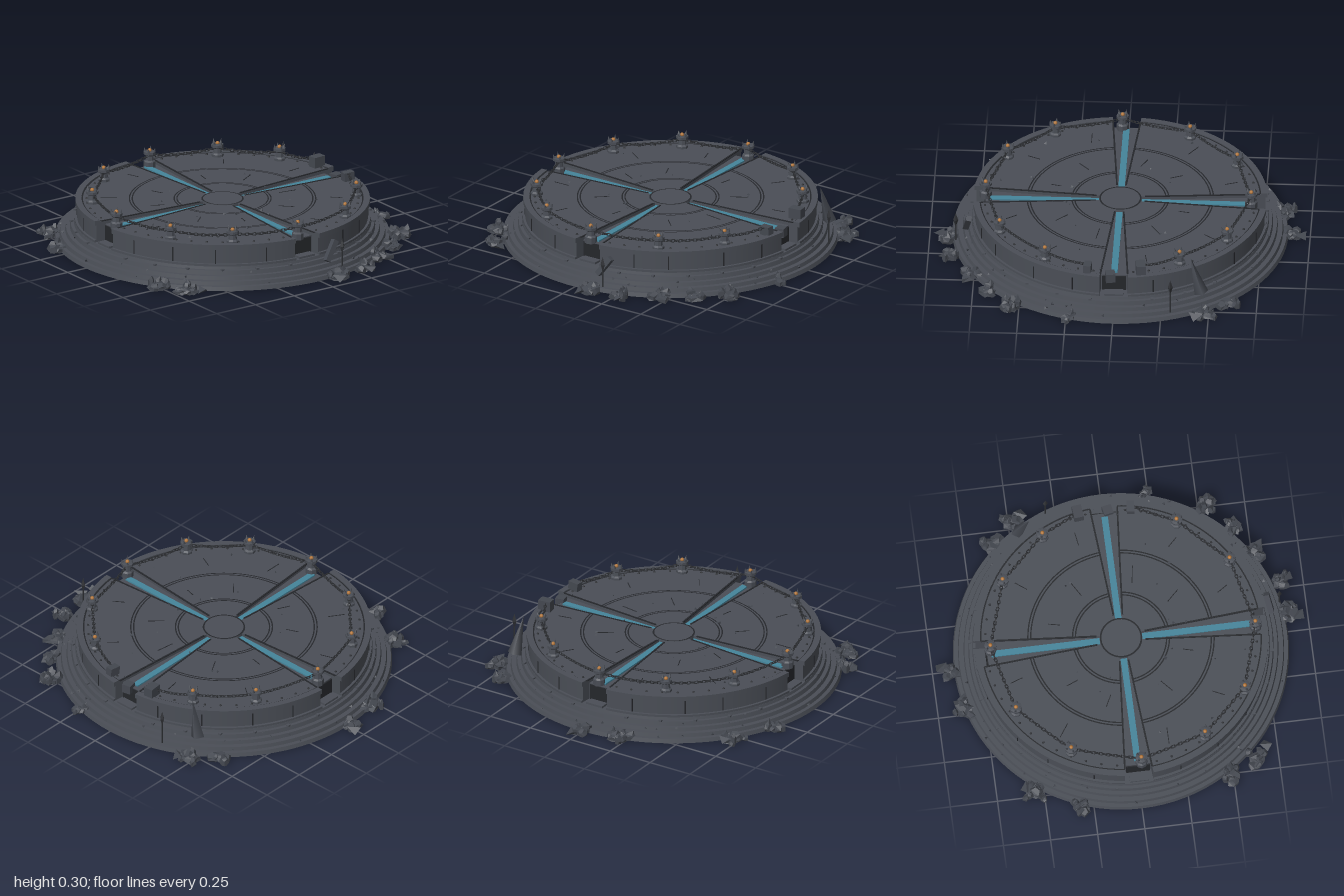
import * as THREE from 'three';

const mat = (name, color, side = THREE.FrontSide) => {
  const m = new THREE.MeshStandardMaterial({ color, side });
  m.name = name;
  return m;
};

export function createModel() {
  const root = new THREE.Group();
  root.name = 'ruinedArena';
  const stone = mat('slate stone', 0x4a4e56);
  const rubbleStone = mat('rubble stone', 0x444850);
  const dark = mat('dark seam', 0x25272b);
  const iron = mat('dark iron', 0x303236);
  const blue = mat('blue inlay', 0x45849a);
  const gold = mat('amber finial', 0xb5783c);

  let seed = 11;
  const rnd = (a = 0, b = 1) => {
    seed = (seed * 16807) % 2147483647;
    return a + (b - a) * seed / 2147483647;
  };
  const add = (name, geo, m, parent = root, x = 0, y = 0, z = 0) => {
    const mesh = new THREE.Mesh(geo, m);
    mesh.name = name;
    mesh.position.set(x, y, z);
    parent.add(mesh);
    return mesh;
  };
  const group = (name, parent = root) => {
    const g = new THREE.Group();
    g.name = name;
    parent.add(g);
    return g;
  };
  const V = (x, y, z) => new THREE.Vector3(x, y, z);

  // Stepped foundation: each tier has hard edges
  const tiers = [[0.885, 0, 0.022], [0.86, 0.015, 0.042], [0.83, 0.035, 0.062], [0.805, 0.055, 0.085], [0.785, 0.075, 0.1]];
  tiers.forEach(([r, y0, y1], i) => {
    add('foundationTier' + i, new THREE.CylinderGeometry(r - 0.006, r, y1 - y0, 96), stone, root, 0, (y0 + y1) / 2, 0);
  });
  add('channelFloor', new THREE.CylinderGeometry(0.71, 0.71, 0.1, 96), stone, root, 0, 0.142, 0);
  add('centreDisc', new THREE.CylinderGeometry(0.108, 0.112, 0.03, 48), stone, root, 0, 0.198, 0);
  const ring = (r, w, a, len) => new THREE.RingGeometry(r - w, r + w, 40, 1, a, len).rotateX(-Math.PI / 2);
  add('centreSeam', ring(0.107, 0.004, 0, Math.PI * 2), dark, root, 0, 0.2142, 0);

  // Quarter platforms, separated by widening channels
  const half = r => 0.022 + 0.053 * (r - 0.11) / 0.66;
  const gap = r => Math.asin(half(r) / r);
  const sector = (r0, r1, y0, y1) => {
    const s = new THREE.Shape();
    s.absarc(0, 0, r1, gap(r1), Math.PI / 2 - gap(r1), false);
    s.absarc(0, 0, r0, Math.PI / 2 - gap(r0), gap(r0), true);
    s.closePath();
    return new THREE.ExtrudeGeometry(s, { depth: y1 - y0, bevelEnabled: false, curveSegments: 36 })
      .rotateX(-Math.PI / 2).translate(0, y0, 0);
  };
  const platform = sector(0.112, 0.765, 0.09, 0.212);
  const lip = sector(0.742, 0.775, 0.192, 0.218);
  const plinth = sector(0.7, 0.778, 0.09, 0.112);
  for (let q = 0; q < 4; q++) {
    const g = group('quarterPlatform' + q);
    g.rotation.y = q * Math.PI / 2;
    add('platform', platform, stone, g);
    add('rimLip', lip, stone, g);
    add('wallPlinth', plinth, stone, g);
    // Engraved arcs
    [0.24, 0.255, 0.475, 0.49, 0.738].forEach(r =>
      add('arcSeam', ring(r, 0.0035, gap(r), Math.PI / 2 - 2 * gap(r)), dark, g, 0, 0.2132, 0));
    // Engraved borders along the channels
    for (const side of [0, 1]) {
      const pt = r => {
        const a = side ? Math.PI / 2 - gap(r) : gap(r);
        return V(r * Math.cos(a), 0, -r * Math.sin(a));
      };
      const a = pt(0.13), b = pt(0.735);
      const m = add('channelSeam', new THREE.BoxGeometry(a.distanceTo(b), 0.004, 0.009), dark, g);
      m.position.copy(a.add(b).multiplyScalar(0.5)).setY(0.2125);
      m.rotation.y = Math.atan2(-(b.z - a.z), b.x - a.x);
    }
    // Wall joints, slab joints and rivets
    for (let i = 1; i < 5; i++) {
      const a = i * Math.PI / 10 + rnd(-0.04, 0.04);
      const m = add('wallJoint', new THREE.BoxGeometry(0.006, 0.08, 0.006), dark, g, 0.765 * Math.cos(a), 0.152, -0.765 * Math.sin(a));
      m.rotation.y = a;
      const r = i % 2 ? 0.6 : 0.36;
      const c = add('slabCrack', new THREE.BoxGeometry(rnd(0.05, 0.1), 0.003, 0.004), dark, g, r * Math.cos(a), 0.2125, -r * Math.sin(a));
      c.rotation.y = a + rnd(-0.3, 0.3);
    }
    for (let i = 0; i < 12; i++) {
      const a = 0.14 + i * 0.116;
      add('rivet', new THREE.CylinderGeometry(0.005, 0.007, 0.006, 6), iron, g, 0.715 * Math.cos(a), 0.215, -0.715 * Math.sin(a));
      if (i % 2) add('tierStud', new THREE.BoxGeometry(0.016, 0.01, 0.016), stone, g, 0.795 * Math.cos(a), 0.088, -0.795 * Math.sin(a));
    }
    // Blue inlay strip and dark gate recess at the rim
    add('blueInlay', new THREE.BoxGeometry(0.575, 0.008, 0.034), blue, g, 0.4, 0.196, 0);
    add('gateRecess', new THREE.BoxGeometry(0.006, 0.085, 0.125), dark, g, 0.712, 0.145, 0);
    add('gateSill', new THREE.BoxGeometry(0.05, 0.012, 0.1), stone, g, 0.745, 0.105, 0);
  }

  // Crowned posts
  const posts = [[0.6, 0.37], [0.35, 0.62], [-0.02, 0.71], [-0.37, 0.61], [-0.6, 0.37], [-0.7, 0.02],
    [-0.6, -0.34], [-0.34, -0.6], [0.02, -0.69], [0.38, -0.58], [0.61, -0.34]];
  const postShape = new THREE.LatheGeometry([[0, -0.02], [0.032, -0.02], [0.032, 0.014], [0.023, 0.022], [0.021, 0.046],
    [0.033, 0.054], [0.033, 0.068], [0.02, 0.07], [0, 0.07]].map(p => new THREE.Vector2(...p)), 8).toNonIndexed();
  postShape.computeVertexNormals();
  posts.forEach(([x, z], i) => {
    const g = group('post' + i);
    g.position.set(x, 0.21, z);
    g.rotation.y = Math.atan2(x, z);
    add('postBody', postShape, stone, g);
    for (let k = 0; k < 4; k++) {
      const a = k * Math.PI / 2 + Math.PI / 4;
      const s = add('crownSpike', new THREE.ConeGeometry(0.009, 0.026, 4), stone, g, 0.027 * Math.cos(a), 0.078, 0.027 * Math.sin(a));
      s.rotation.set(0.25 * Math.sin(a), 0, -0.25 * Math.cos(a));
    }
    add('finial', new THREE.SphereGeometry(0.011, 8, 6), gold, g, 0, 0.074, 0);
  });

  // Sagging chains of alternating links
  const link = new THREE.TorusGeometry(0.0085, 0.003, 4, 6).scale(1.5, 0.9, 1);
  const stops = [[0.71, 0.14], ...posts, [0.71, -0.14]];
  for (let i = 0; i < stops.length - 1; i++) {
    const g = group('chain' + i);
    const [x0, z0] = stops[i], [x1, z1] = stops[i + 1];
    const n = Math.round(Math.hypot(x1 - x0, z1 - z0) / 0.02);
    for (let k = 1; k < n; k++) {
      const t = k / n;
      const m = add('chainLink', link, iron, g, x0 + (x1 - x0) * t, 0.258 - 0.056 * t * (1 - t), z0 + (z1 - z0) * t);
      m.rotation.set(0, Math.atan2(z0 - z1, x1 - x0), 0);
      if (k % 2) m.rotateX(Math.PI / 2);
    }
  }

  // Broken gate blocks and leaning slabs
  const slab = (name, size, pos, rot) => add(name, new THREE.BoxGeometry(...size), rubbleStone, root, ...pos).rotation.set(...rot);
  slab('gateBlock', [0.07, 0.07, 0.05], [0.71, 0.235, -0.14], [0, 0.1, 0]);
  slab('gateBlock', [0.06, 0.06, 0.04], [0.71, 0.23, 0.14], [0, -0.1, 0.05]);
  slab('gateStub', [0.05, 0.05, 0.05], [0.72, 0.19, 0.02], [0, 0.2, 0]);
  slab('leaningSlab', [0.03, 0.12, 0.03], [0.13, 0.12, 0.8], [-0.2, 0, -0.6]);
  const blade = add('leaningShard', new THREE.ConeGeometry(0.038, 0.21, 4), rubbleStone, root, 0.69, 0.19, -0.43);
  blade.rotation.set(0.25, 0.3, 0.1);

  // Abandoned spears
  [[0.805, -0.3, 0.23], [0.16, 0.86, 0.2]].forEach(([x, z, top], i) => {
    const g = group('spear' + i);
    g.position.set(x, 0, z);
    add('shaft', new THREE.CylinderGeometry(0.004, 0.004, top - 0.06, 6), iron, g, 0, top / 2, 0);
    add('spearHead', new THREE.OctahedronGeometry(0.045).scale(0.3, 1, 0.3), iron, g, 0, top - 0.045, 0);
  });

  // Rubble clusters around the foundation: x, z, spread, count
  const clusters = [[-0.21, -0.86, 0.05, 7], [0, -0.9, 0.03, 6], [0.67, -0.61, 0.04, 5], [0.79, -0.48, 0.045, 7],
    [-0.72, -0.55, 0.05, 8], [-0.84, -0.32, 0.03, 5], [-0.76, 0.5, 0.045, 8], [-0.69, 0.64, 0.045, 7],
    [0.76, 0.54, 0.04, 7], [0.62, 0.67, 0.04, 6], [0.47, 0.77, 0.045, 7], [0.28, 0.88, 0.04, 6],
    [0.1, 0.91, 0.045, 7], [0.86, 0.24, 0.03, 5]];
  const rock = (g, x, z, s, h) => {
    const geo = new THREE.DodecahedronGeometry(1, 0);
    const p = geo.attributes.position;
    const k = rnd(2, 6), ph = rnd(0, 6);
    for (let i = 0; i < p.count; i++) {
      const f = 1 + 0.28 * Math.sin(k * p.getX(i) + ph) * Math.cos(k * p.getZ(i) - ph);
      p.setXYZ(i, p.getX(i) * f, Math.max(p.getY(i) * f, -0.4), p.getZ(i) * f);
    }
    geo.scale(s * rnd(0.8, 1.3), h, s * rnd(0.8, 1.3)).rotateY(rnd(0, 6));
    geo.computeVertexNormals();
    add('rock', geo, rubbleStone, g, x, 0.4 * h, z);
  };
  clusters.forEach(([x, z, spread, n], c) => {
    const g = group('rubble' + c);
    rock(g, x, z, spread * 1.1, 0.025);
    for (let i = 0; i < n; i++) rock(g, x + rnd(-spread, spread), z + rnd(-spread, spread), rnd(0.015, 0.034), rnd(0.02, 0.05));
  });
  // Pointed shards marking the outermost debris
  [[0.02, -0.95, 0.05], [0.08, 0.95, 0.05], [0.3, 0.92, 0.04], [-0.62, 0.69, 0.045], [0.82, -0.43, 0.05], [-0.7, -0.59, 0.045]].forEach(([x, z, s]) => {
    const m = add('shard', new THREE.TetrahedronGeometry(s).scale(0.8, 0.5, 1), rubbleStone, root, x, 0.02, z);
    m.rotation.y = Math.atan2(x, z);
  });
  // Small stones scattered on the steps and floor
  const debris = group('debris');
  for (let i = 0; i < 70; i++) {
    const a = rnd(0, Math.PI * 2), onTop = i % 3 === 0;
    const r = onTop ? rnd(0.2, 0.73) : rnd(0.79, 0.87), s = rnd(0.005, 0.012);
    const y = onTop ? 0.214 : 0.085 - (r - 0.79) * 0.75;
    add('pebble', new THREE.TetrahedronGeometry(s), rubbleStone, debris, r * Math.cos(a), y, r * Math.sin(a)).rotation.set(rnd(0, 3), rnd(0, 3), 0);
  }
  return root;
}
